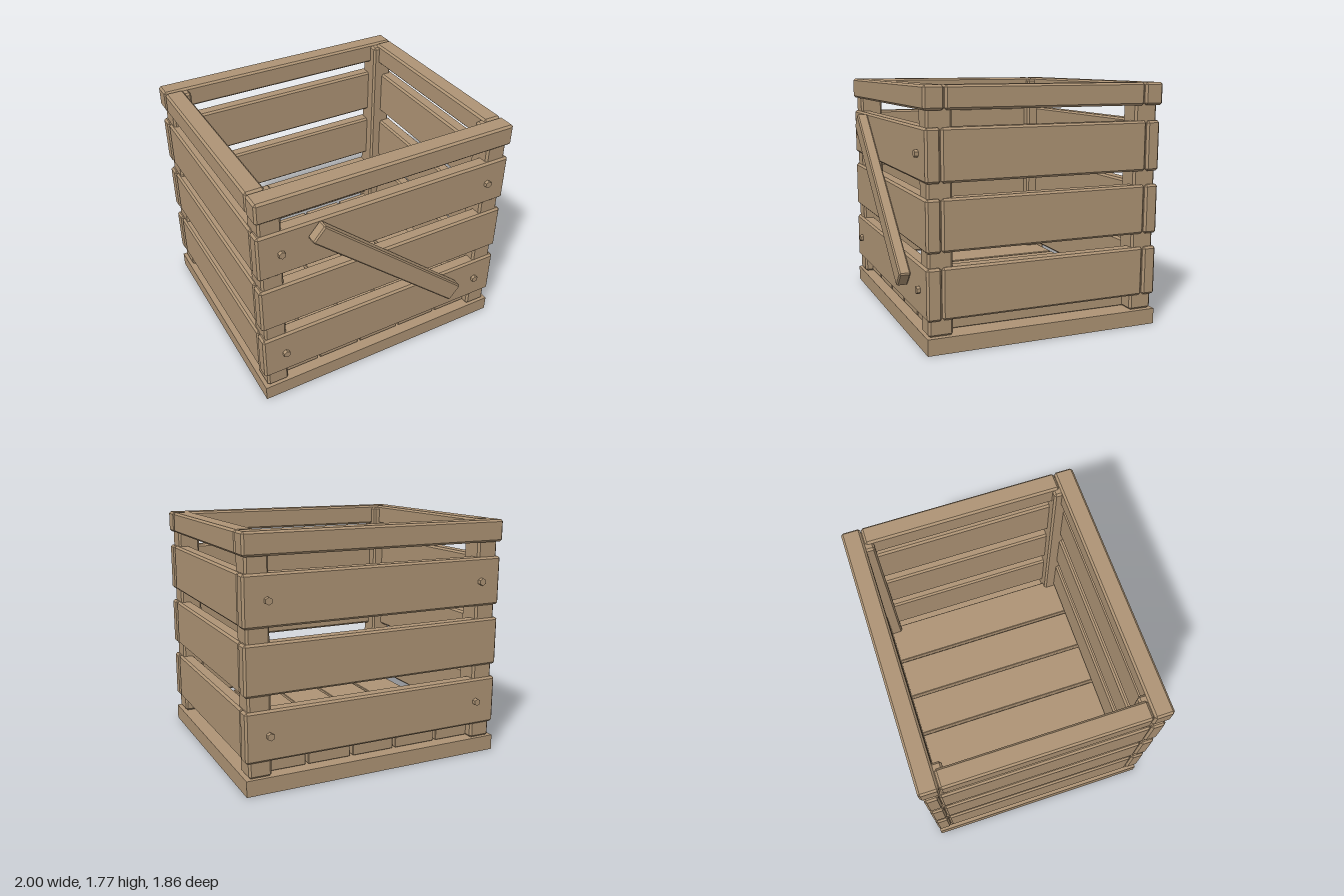
import * as THREE from 'three';
import { ConvexGeometry } from 'three/addons/geometries/ConvexGeometry.js';

const wood = new THREE.MeshStandardMaterial({ color: 0xae9475 });
wood.name = 'wood';

// Box with chamfered edges: each corner becomes three points
function chamferedBox(w, h, d, c) {
  const points = [];
  for (const sx of [-1, 1]) for (const sy of [-1, 1]) for (const sz of [-1, 1]) {
    const x = w / 2, y = h / 2, z = d / 2;
    points.push(
      new THREE.Vector3(sx * x, sy * (y - c), sz * (z - c)),
      new THREE.Vector3(sx * (x - c), sy * y, sz * (z - c)),
      new THREE.Vector3(sx * (x - c), sy * (y - c), sz * z)
    );
  }
  return new ConvexGeometry(points);
}

export function createModel() {
  const crate = new THREE.Group();
  crate.name = 'crate';

  // Add a board given its extents on each axis
  function board(name, [x0, x1], [y0, y1], [z0, z1], chamfer = 0.015) {
    const size = [x1 - x0, y1 - y0, z1 - z0];
    const geometry = chamfer ? chamferedBox(...size, chamfer) : new THREE.BoxGeometry(...size);
    const mesh = new THREE.Mesh(geometry, wood);
    mesh.name = name;
    mesh.position.set((x0 + x1) / 2, (y0 + y1) / 2, (z0 + z1) / 2);
    crate.add(mesh);
    return mesh;
  }

  // Base slab and floor slats
  board('base', [-1, 1], [0, 0.115], [-0.9, 0.845], 0);
  for (let i = -2; i <= 2; i++) {
    const x = i * 0.35;
    board('floorSlat', [x - 0.164, x + 0.164], [0.122, 0.205], [-0.82, 0.77], 0.004);
  }

  // Corner posts
  for (const x of [[-0.975, -0.81], [0.81, 0.975]]) {
    board('frontPost', x, [0.115, 1.755], [0.655, 0.83]);
    board('backPost', x, [0.115, 1.755], [-0.885, -0.71]);
  }

  // Three rows of wall planks
  for (const y of [[0.228, 0.587], [0.686, 1.044], [1.143, 1.501]]) {
    board('frontPlank', [-1, 1], y, [0.74, 0.845]);
    board('backPlank', [-1, 1], y, [-0.9, -0.797]);
    board('leftPlank', [0.89, 0.995], y, [-0.793, 0.736]);
    board('rightPlank', [-0.995, -0.89], y, [-0.793, 0.736]);
  }

  // Top rails
  const railY = [1.61, 1.77];
  board('frontRail', [-1, 1], railY, [0.712, 0.855]);
  board('backRail', [-1, 1], railY, [-0.917, -0.775]);
  board('leftRail', [0.857, 0.998], railY, [-0.77, 0.708]);
  board('rightRail', [-0.998, -0.857], railY, [-0.77, 0.708]);

  // Diagonal brace on the front
  const brace = board('brace', [-0.785, 0.785], [0.86, 1.002], [0.845, 0.928], 0.01);
  brace.rotation.z = -0.715;

  // Hexagonal bolts, front and back
  const boltGeometry = new THREE.CylinderGeometry(0.027, 0.027, 0.04, 6).toNonIndexed();
  boltGeometry.computeVertexNormals();
  boltGeometry.rotateX(Math.PI / 2);
  for (const x of [-0.83, 0.83]) for (const y of [0.41, 1.325]) for (const z of [0.85, -0.91]) {
    const bolt = new THREE.Mesh(boltGeometry, wood);
    bolt.name = z > 0 ? 'frontBolt' : 'backBolt';
    bolt.position.set(x, y, z);
    crate.add(bolt);
  }

  return crate;
}
